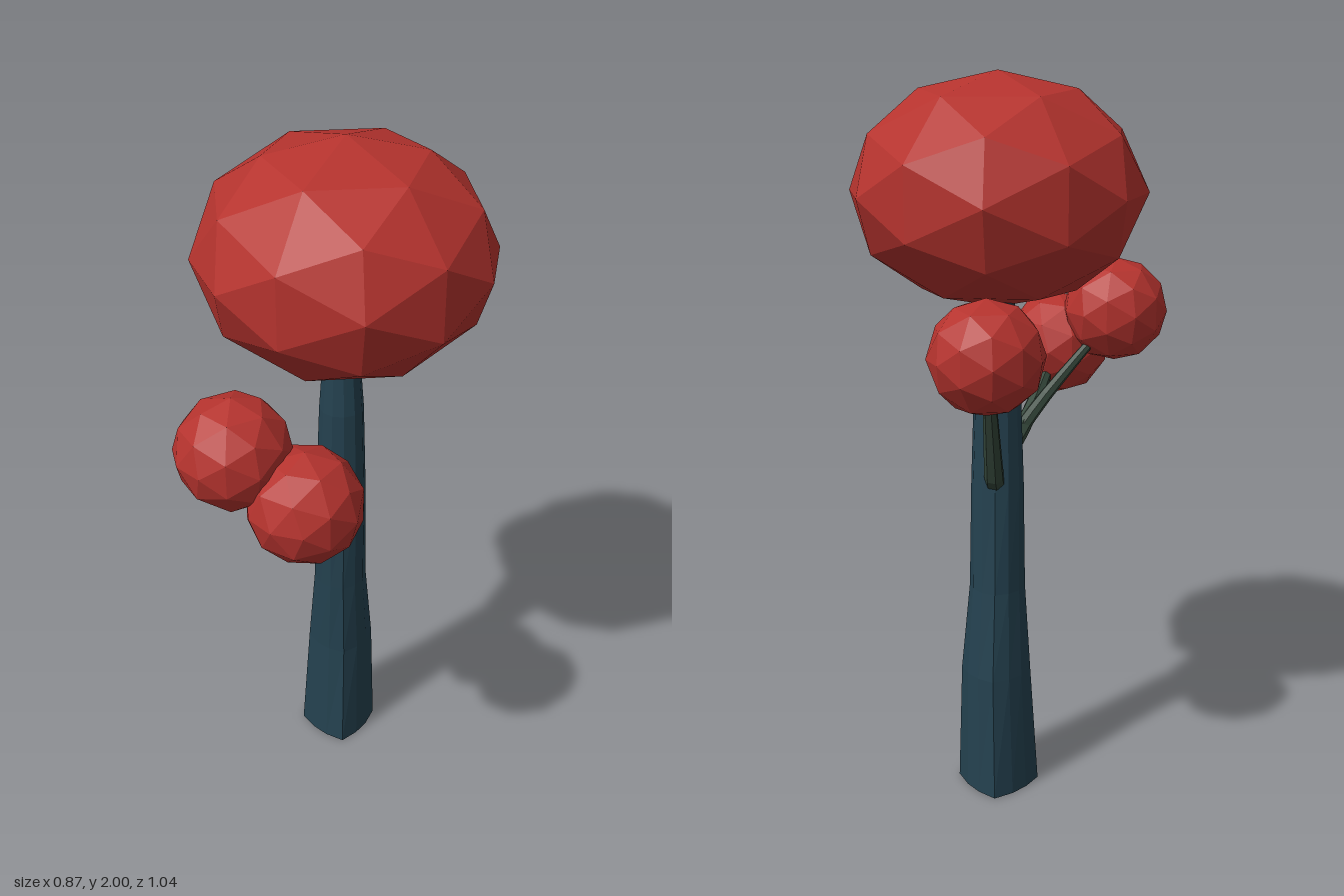
import * as THREE from 'three';

const paint = (color) => new THREE.MeshStandardMaterial({ color, flatShading: true });
const leafRed = paint(0xb5332e);
const barkBlue = paint(0x24414f);
const branchGreen = paint(0x35473b);

// Faceted ball of leaves
function foliage(name, center, radii, turn) {
  const geometry = new THREE.IcosahedronGeometry(1, 1);
  geometry.rotateY(turn);
  geometry.scale(...radii);
  const mesh = new THREE.Mesh(geometry, leafRed);
  mesh.name = name;
  mesh.position.set(...center);
  return mesh;
}

// Trunk: stacked rings, lobed like roots near the ground
function trunk() {
  const sides = 12;
  // y, centre x, centre z, radius x, radius z, lobe depth
  const rings = [
    [0, 0.03, -0.127, 0.115, 0.127, 0.1],
    [0.35, 0.036, -0.127, 0.098, 0.099, 0.07],
    [0.6, 0.033, -0.11, 0.078, 0.082, 0.03],
    [0.9, 0.033, -0.098, 0.073, 0.073, 0],
    [1.2, 0.033, -0.092, 0.063, 0.063, 0],
    [1.42, 0.033, -0.1, 0.047, 0.046, 0],
    [1.55, 0.033, -0.1, 0.04, 0.04, 0],
  ];
  const geometry = new THREE.CylinderGeometry(1, 1, 1, sides, rings.length - 1);
  const p = geometry.attributes.position;
  for (let i = 0; i < p.count; i++) {
    const level = Math.round((p.getY(i) + 0.5) * (rings.length - 1));
    const [y, cx, cz, rx, rz, lobe] = rings[level];
    const angle = Math.atan2(p.getZ(i), p.getX(i));
    const onRim = Math.hypot(p.getX(i), p.getZ(i));
    const k = onRim * (1 - lobe + lobe * Math.cos(angle * 4));
    p.setXYZ(i, cx + p.getX(i) * rx * k, y, cz + p.getZ(i) * rz * k);
  }
  const mesh = new THREE.Mesh(geometry, barkBlue);
  mesh.name = 'trunk';
  return mesh;
}

// Branch: tube along a bent path, thinning towards its tip
function branch(name, points, startRadius, endRadius) {
  const steps = 6, sides = 7;
  const curve = new THREE.CatmullRomCurve3(points.map((q) => new THREE.Vector3(...q)));
  const geometry = new THREE.TubeGeometry(curve, steps, 1, sides);
  const p = geometry.attributes.position;
  const v = new THREE.Vector3();
  for (let i = 0; i < p.count; i++) {
    const t = Math.floor(i / (sides + 1)) / steps;
    const c = curve.getPointAt(t);
    v.fromBufferAttribute(p, i).sub(c).multiplyScalar(THREE.MathUtils.lerp(startRadius, endRadius, t)).add(c);
    p.setXYZ(i, v.x, v.y, v.z);
  }
  const mesh = new THREE.Mesh(geometry, branchGreen);
  mesh.name = name;
  return mesh;
}

export function createModel() {
  const tree = new THREE.Group();
  tree.name = 'tree';
  tree.add(
    trunk(),
    // Crown and three side clusters
    foliage('crown', [0.035, 1.69, -0.027], [0.4, 0.31, 0.415], 0),
    foliage('frontRightFoliage', [-0.28, 1.315, 0.293], [0.153, 0.152, 0.153], 0.4),
    foliage('frontFoliage', [-0.108, 1.195, 0.37], [0.154, 0.154, 0.154], 0.9),
    foliage('backFoliage', [0.035, 1.317, -0.368], [0.152, 0.15, 0.154], 0.2),
    // Branches carrying the clusters
    branch('frontBranch', [[0.025, 0.93, -0.06], [0.01, 0.965, 0.01], [-0.03, 1.02, 0.1], [-0.1, 1.17, 0.32]], 0.031, 0.016),
    branch('frontRightBranch', [[-0.015, 1.0, 0.07], [-0.08, 1.08, 0.14], [-0.25, 1.27, 0.26]], 0.022, 0.012),
    branch('backBranch', [[0.035, 0.89, -0.12], [0.035, 0.93, -0.165], [0.035, 1.03, -0.215], [0.035, 1.27, -0.33]], 0.03, 0.015),
  );
  return tree;
}
